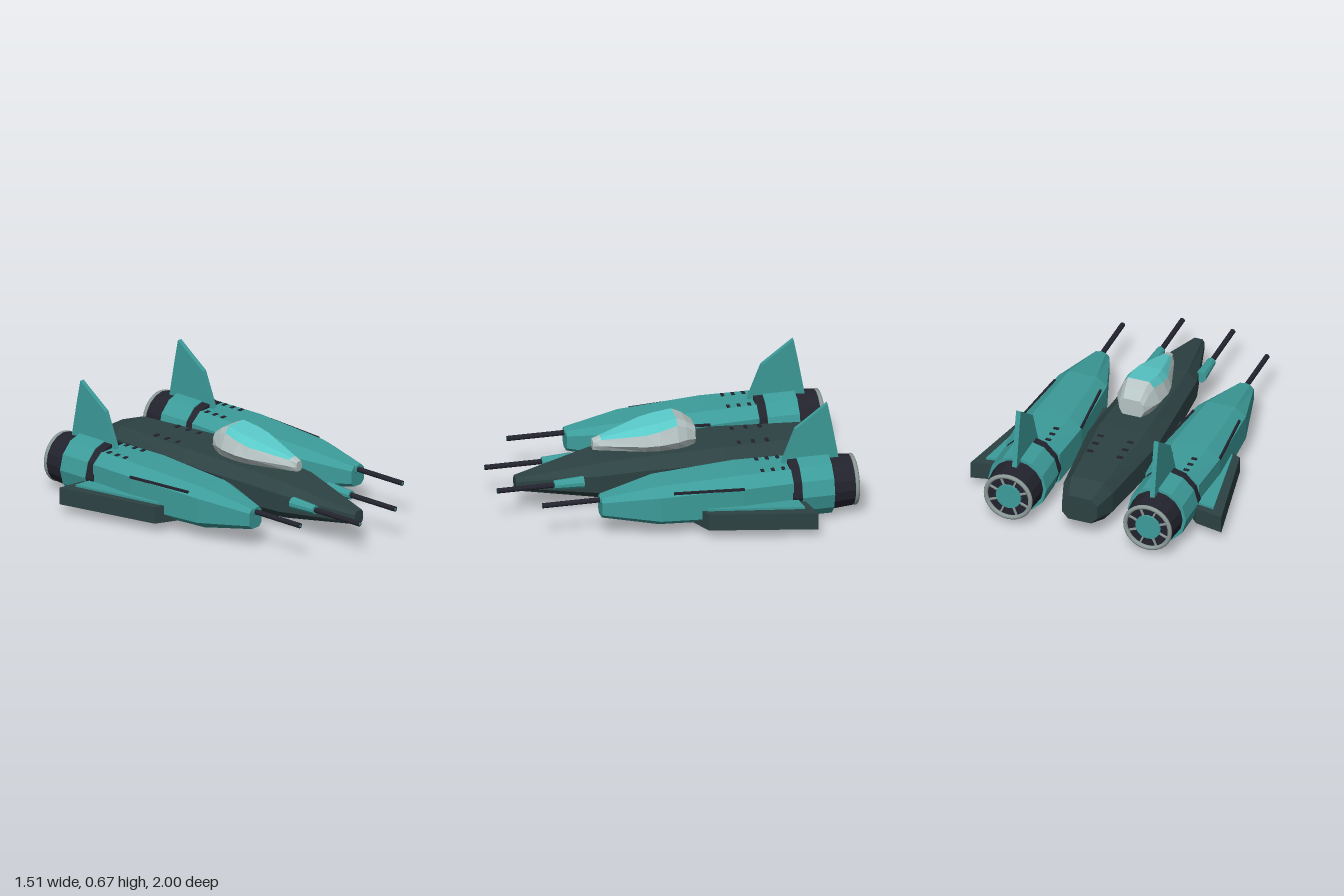
import * as THREE from 'three';

const mat = (name, color) => Object.assign(new THREE.MeshStandardMaterial({ color }), { name });
const teal = mat('teal paint', 0x3c9c9a);
const hull = mat('dark green hull', 0x2d4243);
const black = mat('dark metal', 0x23232e);
const pale = mat('pale frame', 0xb6c4c3);
const glass = mat('canopy glass', 0x5acaca);
const steel = mat('steel', 0x8b9a98);

export function createModel() {
  const model = new THREE.Group();
  model.name = 'starfighter';

  const add = (name, geo, material, x = 0, y = 0, z = 0, parent = model) => {
    const mesh = new THREE.Mesh(geo, material);
    mesh.name = name;
    mesh.position.set(x, y, z);
    parent.add(mesh);
    return mesh;
  };

  const faceted = (geo) => {
    const g = geo.index ? geo.toNonIndexed() : geo;
    g.computeVertexNormals();
    return g;
  };

  // Skin between rings ordered front to back, each counterclockwise seen from the front;
  // accent(i, j) sends a panel to the second material group
  const loft = (rings, accent = () => false) => {
    const lists = [[], []];
    const n = rings[0].length;
    const tri = (k, ...pts) => pts.forEach((p) => lists[k].push(...p));
    for (let i = 0; i < rings.length - 1; i++) {
      for (let j = 0; j < n; j++) {
        const a = rings[i][j], b = rings[i][(j + 1) % n];
        const c = rings[i + 1][j], d = rings[i + 1][(j + 1) % n];
        const k = accent(i, j) ? 1 : 0;
        tri(k, a, c, b);
        tri(k, b, c, d);
      }
    }
    const first = rings[0], last = rings[rings.length - 1];
    for (let j = 1; j < n - 1; j++) {
      tri(0, first[0], first[j], first[j + 1]);
      tri(0, last[0], last[j + 1], last[j]);
    }
    const geo = new THREE.BufferGeometry();
    geo.setAttribute('position', new THREE.Float32BufferAttribute(lists[0].concat(lists[1]), 3));
    geo.addGroup(0, lists[0].length / 3, 0);
    if (lists[1].length) geo.addGroup(lists[0].length / 3, lists[1].length / 3, 1);
    geo.computeVertexNormals();
    return geo;
  };

  // Eight-sided section with chamfered corners
  const octagon = (cx, w, y0, y1, z, fx, fy) => {
    const c = (y0 + y1) / 2, h = (y1 - y0) / 2;
    return [[fx, -1], [1, -fy], [1, fy], [fx, 1], [-fx, 1], [-1, fy], [-1, -fy], [-fx, -1]]
      .map(([u, v]) => [cx + u * w, c + v * h, z]);
  };

  // Tube along z, from zBack to zFront
  const rod = (rFront, rBack, zBack, zFront, sides) => faceted(
    new THREE.CylinderGeometry(rFront, rBack, zFront - zBack, sides)
      .rotateX(Math.PI / 2).translate(0, 0, (zBack + zFront) / 2));

  // Flat plate drawn in (x, z) with its top at y = 0
  const plate = (pts, thick) => new THREE.ExtrudeGeometry(
    new THREE.Shape(pts.map(([x, z]) => new THREE.Vector2(x, z))),
    { depth: thick, bevelEnabled: false }).rotateX(Math.PI / 2);

  // Fuselage: z, half width, bottom, top
  const body = [
    [0.86, 0.036, 0.125, 0.2], [0.41, 0.167, 0.075, 0.283], [0.15, 0.183, 0.062, 0.303],
    [-0.3, 0.207, 0.048, 0.316], [-0.83, 0.147, 0.062, 0.305], [-0.96, 0.104, 0.105, 0.262],
  ].map(([z, w, y0, y1]) => octagon(0, w, y0, y1, z, 0.66, 0.5));
  add('fuselage', loft(body), [hull]);

  // Canopy: z, then half width and height at sill, waist, glass edge and roof
  const cabin = [
    [0.415, 0.016, 0.325, 0.024, 0.35, 0.02, 0.377, 0.014, 0.383],
    [0.37, 0.03, 0.323, 0.046, 0.355, 0.03, 0.387, 0.018, 0.398],
    [0.13, 0.09, 0.316, 0.124, 0.36, 0.102, 0.42, 0.066, 0.462],
    [0.05, 0.1, 0.315, 0.137, 0.365, 0.106, 0.437, 0.072, 0.476],
    [-0.055, 0.095, 0.315, 0.128, 0.37, 0.092, 0.458, 0.065, 0.493],
    [-0.11, 0.08, 0.315, 0.105, 0.37, 0.08, 0.438, 0.058, 0.468],
    [-0.165, 0.055, 0.32, 0.074, 0.355, 0.07, 0.4, 0.05, 0.425],
  ].map(([z, ...p]) => {
    const half = [0, 2, 4, 6].map((i) => [p[i], p[i + 1], z]);
    return [...half, ...half.map(([x, y]) => [-x, y, z]).reverse()];
  });
  add('canopy', loft(cabin, (i, j) => i > 0 && i < 4 && j > 1 && j < 5), [pale, glass]);

  // Belly pod and landing skids
  add('bellyPod', loft([
    octagon(0, 0.085, 0.025, 0.06, -0.04, 0.85, 0.5), octagon(0, 0.105, 0.015, 0.06, -0.07, 0.85, 0.5),
    octagon(0, 0.105, 0.015, 0.06, -0.33, 0.85, 0.5), octagon(0, 0.085, 0.025, 0.06, -0.36, 0.85, 0.5),
  ]), [black]);

  for (const s of [1, -1]) {
    const side = new THREE.Group();
    side.name = s > 0 ? 'leftSide' : 'rightSide';
    model.add(side);
    const put = (name, geo, m, x = 0, y = 0, z = 0) => add(name, geo, m, x * s, y, z, side);
    const cx = 0.42;

    put('skid', rod(0.01, 0.01, -0.295, -0.1, 8), steel, 0.115, 0.011);

    // Nacelle body: centre x, z, half width, bottom, top
    const pod = [
      [0.434, 0.47, 0.052, 0.125, 0.245], [0.418, 0.15, 0.147, 0.065, 0.3],
      [0.417, -0.32, 0.178, 0.048, 0.324], [0.42, -0.61, 0.162, 0.035, 0.325],
    ].map(([x, z, w, y0, y1]) => octagon(x * s, w, y0, y1, z, 0.57, 0.62));
    put('nacelle', loft(pod), [teal]);

    // Engine
    put('engineBand', rod(0.171, 0.171, -0.662, -0.605, 12), black, cx, 0.18);
    put('engineCowl', rod(0.176, 0.176, -0.845, -0.66, 12), teal, cx, 0.18);
    put('exhaust', rod(0.156, 0.145, -0.972, -0.84, 16), black, cx, 0.18);
    put('exhaustRing', new THREE.TorusGeometry(0.134, 0.013, 8, 32), steel, cx, 0.18, -0.985);
    put('exhaustCore', rod(0.075, 0.075, -0.985, -0.965, 20), teal, cx, 0.18);
    for (let i = 0; i < 8; i++) {
      const spoke = put('exhaustSpoke', new THREE.BoxGeometry(0.05, 0.01, 0.012).translate(0.1, 0, 0),
        steel, cx, 0.18, -0.976);
      spoke.rotation.z = (i + 0.5) * Math.PI / 4;
    }

    // Tail fin
    const fin = new THREE.Shape([[-0.57, 0.31], [-0.655, 0.53], [-0.84, 0.67], [-0.865, 0.545], [-0.905, 0.32]]
      .map(([z, y]) => new THREE.Vector2(z, y)));
    put('tailFin', new THREE.ExtrudeGeometry(fin, { depth: 0.028, bevelEnabled: false })
      .translate(0, 0, -0.014).rotateY(-Math.PI / 2), teal, 0.415);

    // Wing slab with a painted upper panel
    put('wing', plate([[0.14, 0.125], [0.27, 0.075], [0.63, -0.11], [0.755, -0.71],
      [0.59, -0.675], [0.24, -0.31], [0.14, -0.2]].map(([x, z]) => [x * s, z]), 0.1), hull, 0, 0.157);
    put('wingPanel', plate([[0.5, -0.08], [0.59, -0.115], [0.685, -0.65], [0.5, -0.62]]
      .map(([x, z]) => [x * s, z]), 0.014), teal, 0, 0.17);

    // Long slits along both nacelle shoulders
    for (const [x0, x1] of [[0.556, 0.593], [0.28, 0.243]]) {
      const slit = put('nacelleSlit', new THREE.BoxGeometry(0.012, 0.013, 0.4), black, (x0 + x1) / 2, 0.272, -0.125);
      slit.rotation.y = -s * Math.atan2(x1 - x0, 0.39);
    }

    // Small vents on nacelle and fuselage tops
    for (let i = 0; i < 3; i++) {
      for (const x of [0.342, 0.49]) {
        put('nacelleVent', new THREE.BoxGeometry(0.032, 0.018, 0.019), black, x, 0.32, -0.57 + i * 0.06);
      }
      put('fuselageVent', new THREE.BoxGeometry(0.036, 0.016, 0.02), black, 0.09, 0.308, -0.57 + i * 0.08);
    }

    // Guns: x, y, housing back, housing front, muzzle
    for (const [x, y, z0, z1, z2] of [[0.152, 0.2, 0.5, 0.67, 1], [0.435, 0.222, 0.31, 0.475, 0.805]]) {
      put('gunHousing', rod(0.026, 0.035, z0, z1, 10), teal, x, y);
      put('gunBarrel', rod(0.015, 0.015, z1 - 0.02, z2 - 0.002, 10), black, x, y);
      put('gunMuzzle', rod(0.008, 0.008, z2 - 0.004, z2, 10), teal, x, y);
    }
  }
  return model;
}
